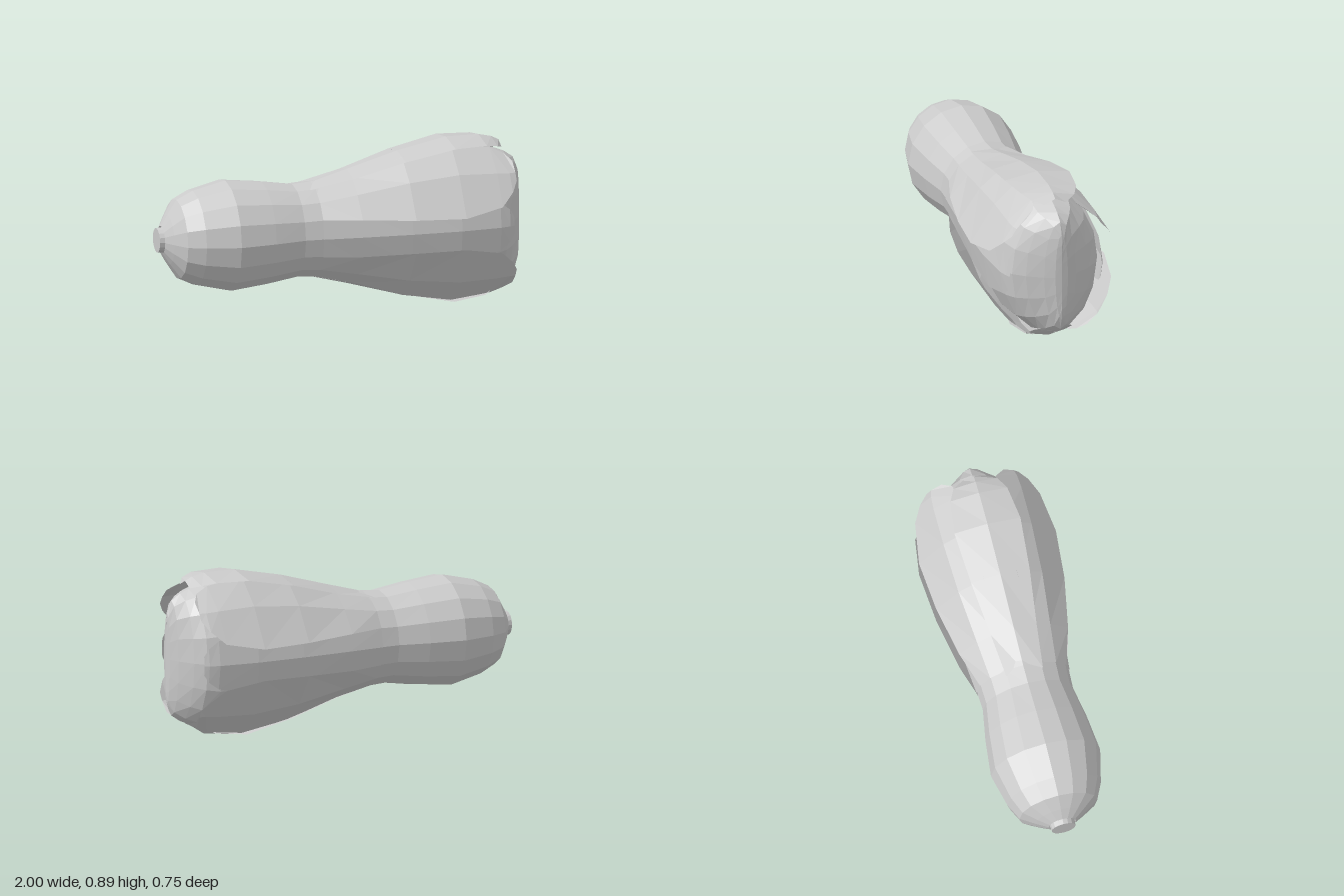
import * as THREE from 'three';

const CY = 0.447; // height of the long axis
const SIDES = 16;

const material = new THREE.MeshStandardMaterial({
  color: 0xcccccc, flatShading: true, side: THREE.DoubleSide,
});

// Skin rows of points into a surface; closed rows wrap round.
function skin(name, rows, closed) {
  const n = rows[0].length;
  const index = [];
  for (let r = 0; r < rows.length - 1; r++) {
    for (let i = 0; i < (closed ? n : n - 1); i++) {
      const a = r * n + i, b = r * n + (i + 1) % n;
      index.push(a, a + n, b, b, a + n, b + n);
    }
  }
  const geometry = new THREE.BufferGeometry();
  geometry.setAttribute('position', new THREE.Float32BufferAttribute(rows.flat(2), 3));
  geometry.setIndex(index);
  geometry.computeVertexNormals();
  const mesh = new THREE.Mesh(geometry, material);
  mesh.name = name;
  return mesh;
}

// Elliptical cross-section across the x axis
function ring([x, ry, rz]) {
  return Array.from({ length: SIDES }, (_, i) => {
    const a = (i / SIDES) * Math.PI * 2;
    return [x, CY + ry * Math.cos(a), rz * Math.sin(a)];
  });
}

// Leaf row: x, then (height from axis, z) for edge, rib and edge
function leaf(name, stations, sy = 1, sz = 1) {
  const rows = stations.map(([x, ...p]) =>
    [0, 2, 4].map((k) => [x, CY + sy * p[k], sz * p[k + 1]]));
  return skin(name, rows, false);
}

export function createModel() {
  const model = new THREE.Group();

  // Body: round base, narrow neck, taller head closing to an upright ridge
  const profile = [
    [-0.975, 0.075, 0.075], [-0.94, 0.135, 0.135], [-0.89, 0.212, 0.212],
    [-0.8, 0.255, 0.255], [-0.62, 0.298, 0.298], [-0.42, 0.276, 0.276],
    [-0.25, 0.25, 0.246], [-0.15, 0.257, 0.25], [0.03, 0.285, 0.262],
    [0.33, 0.365, 0.28], [0.6, 0.415, 0.285], [0.8, 0.39, 0.265],
    [0.87, 0.365, 0.235], [0.92, 0.345, 0.175], [0.97, 0.31, 0.09],
    [0.995, 0.245, 0.035], [1, 0.2, 0],
  ];
  model.add(skin('body', profile.map(ring), true));

  // Cut stem at the base
  const stemGeometry = new THREE.CylinderGeometry(0.065, 0.068, 0.04, SIDES);
  stemGeometry.rotateZ(Math.PI / 2);
  const stem = new THREE.Mesh(stemGeometry, material);
  stem.name = 'stem';
  stem.position.set(-0.98, CY, 0);
  model.add(stem);

  // Top and bottom leaves, with the tip curling inward
  const capLeaf = (width, tip) => [
    [-0.18, 0.1, 0.245], [0.05, 0.125, 0.31], [0.33, 0.16, 0.39], [0.6, 0.18, 0.446],
    [0.78, 0.155, 0.446 + (tip - 0.41) * 0.4], [0.85, 0.12, tip + 0.02], [0.89, 0.06, tip],
  ].map(([x, w, h], i) => {
    const drop = i < 1 ? 0.01 : 0.028;
    return [x, h - drop, -w * width, h, 0, h - drop, w * width];
  });
  model.add(leaf('topLeaf', capLeaf(1, 0.41)));
  model.add(leaf('bottomLeaf', capLeaf(0.85, 0.36), -1));

  // Four diagonal leaves, flaring away from the body at their outer edge
  const diagonal = [
    [-0.15, 0.1, 0.235, 0.182, 0.18, 0.24, 0.09],
    [0.05, 0.1, 0.297, 0.215, 0.2, 0.285, 0.09],
    [0.33, 0.09, 0.35, 0.265, 0.228, 0.375, 0.09],
    [0.6, 0.085, 0.373, 0.292, 0.24, 0.422, 0.09],
    [0.81, 0.125, 0.34, 0.285, 0.24, 0.395, 0.1],
    [0.88, 0.19, 0.295, 0.28, 0.235, 0.365, 0.12],
    [0.915, 0.24, 0.25, 0.28, 0.225, 0.33, 0.17],
  ];
  // Two side leaves lying close to the body
  const side = [
    [-0.15, -0.1, 0.235, 0, 0.254, 0.1, 0.235],
    [0.05, -0.13, 0.245, 0, 0.272, 0.13, 0.245],
    [0.33, -0.165, 0.262, 0, 0.292, 0.165, 0.262],
    [0.6, -0.185, 0.27, 0, 0.3, 0.185, 0.27],
    [0.82, -0.13, 0.265, 0, 0.285, 0.13, 0.265],
    [0.875, -0.09, 0.258, 0, 0.27, 0.09, 0.258],
    [0.9, -0.05, 0.252, 0, 0.258, 0.05, 0.252],
  ];
  for (const sz of [1, -1]) {
    const face = sz > 0 ? 'front' : 'back';
    model.add(leaf(face + 'UpperLeaf', diagonal, 1, sz));
    model.add(leaf(face + 'LowerLeaf', diagonal, -1, sz));
    model.add(leaf(face + 'SideLeaf', side, 1, sz));
  }
  return model;
}
